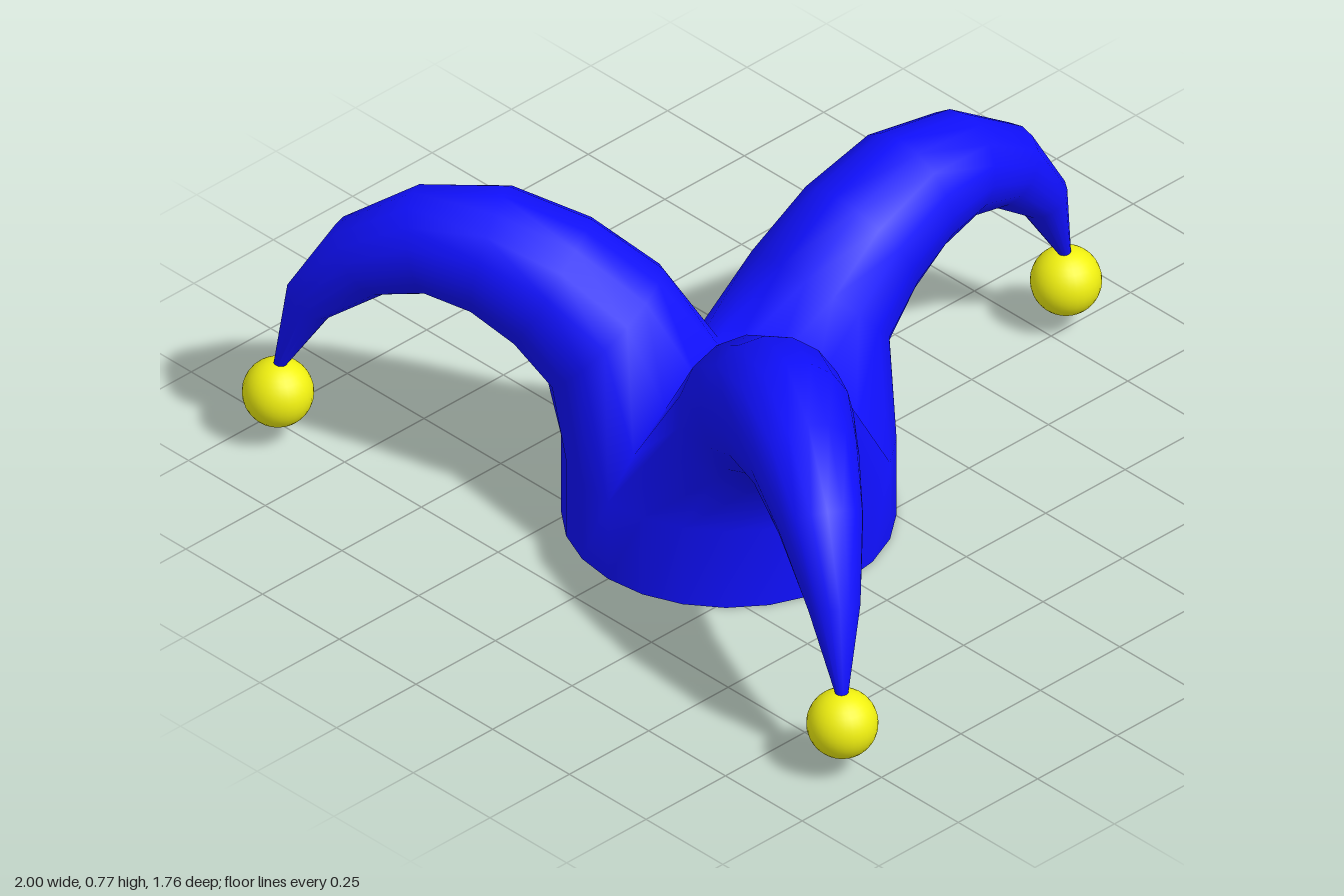
import * as THREE from 'three';
import { mergeGeometries, mergeVertices } from 'three/addons/utils/BufferGeometryUtils.js';

const R = 0.38, SHOULDER = 0.21, SIDES = 16;

// valley between two horns, from the band edge to the centre: [radius, height]
const VALLEY = [[R, SHOULDER], [0.3, 0.3], [0.2, 0.38], [0.1, 0.415], [0, 0.42]];

// horn outline pairs: [under radius, under height, top radius, top height]
const HORN = [
  [0.415, 0.32, 0.165, 0.60],
  [0.495, 0.41, 0.335, 0.71],
  [0.585, 0.47, 0.535, 0.77],
  [0.685, 0.495, 0.745, 0.74],
  [0.795, 0.47, 0.925, 0.62],
  [0.935, 0.37, 1.04, 0.43],
  [1.055, 0.19, 1.075, 0.19],
];

// first ring: a third of the band edge, closed by two valleys
function rootPoint(j) {
  if (j <= 8) {
    const a = (-60 + j * 15) * Math.PI / 180;
    return [R * Math.sin(a), SHOULDER, R * Math.cos(a)];
  }
  const [r, y] = VALLEY[j <= 12 ? j - 8 : 16 - j];
  const a = (j <= 12 ? 1 : -1) * Math.PI / 3;
  return [r * Math.sin(a), y, r * Math.cos(a)];
}

// round ring spanning an under/top pair
function ringPoint([ur, uy, tr, ty], j) {
  const t = -Math.PI / 2 + j * Math.PI * 2 / SIDES;
  const dr = (ur - tr) / 2, dy = (uy - ty) / 2;
  return [
    Math.hypot(dr, dy) * Math.sin(t),
    (uy + ty) / 2 + dy * Math.cos(t),
    (ur + tr) / 2 + dr * Math.cos(t),
  ];
}

function hornGeometry() {
  const pos = [], index = [];
  for (let i = 0; i <= HORN.length; i++)
    for (let j = 0; j < SIDES; j++)
      pos.push(...(i === 0 ? rootPoint(j) : ringPoint(HORN[i - 1], j)));
  for (let i = 0; i < HORN.length; i++)
    for (let j = 0; j < SIDES; j++) {
      const k = (j + 1) % SIDES;
      const a = i * SIDES + j, b = i * SIDES + k;
      index.push(a, b, b + SIDES, a, b + SIDES, a + SIDES);
    }
  const g = new THREE.BufferGeometry();
  g.setAttribute('position', new THREE.Float32BufferAttribute(pos, 3));
  g.setIndex(index);
  return g;
}

export function createModel() {
  const group = new THREE.Group();
  group.name = 'jesterHat';
  const cloth = new THREE.MeshStandardMaterial({ color: 0x1010ff, side: THREE.DoubleSide });
  const yellow = new THREE.MeshStandardMaterial({ color: 0xf0f010 });
  const angles = [Math.PI / 3, -Math.PI / 3, Math.PI];

  // open head band, welded to the three horns for one smooth surface
  const band = new THREE.CylinderGeometry(R, R, SHOULDER, 24, 1, true);
  band.translate(0, SHOULDER / 2, 0);
  band.deleteAttribute('normal');
  band.deleteAttribute('uv');
  const parts = [band, ...angles.map(a => hornGeometry().rotateY(a))];
  const geometry = mergeVertices(mergeGeometries(parts), 1e-3);
  geometry.computeVertexNormals();
  const hat = new THREE.Mesh(geometry, cloth);
  hat.name = 'hatWithHorns';
  group.add(hat);

  // a bell hanging on each horn tip
  const names = ['leftBell', 'rightBell', 'backBell'];
  angles.forEach((a, i) => {
    const bell = new THREE.Mesh(new THREE.SphereGeometry(0.082, 28, 18), yellow);
    bell.name = names[i];
    bell.position.set(1.062 * Math.sin(a), 0.132, 1.062 * Math.cos(a));
    group.add(bell);
  });

  // centre the whole hat in depth
  group.children.forEach(m => { m.position.z += 0.265; });
  return group;
}
